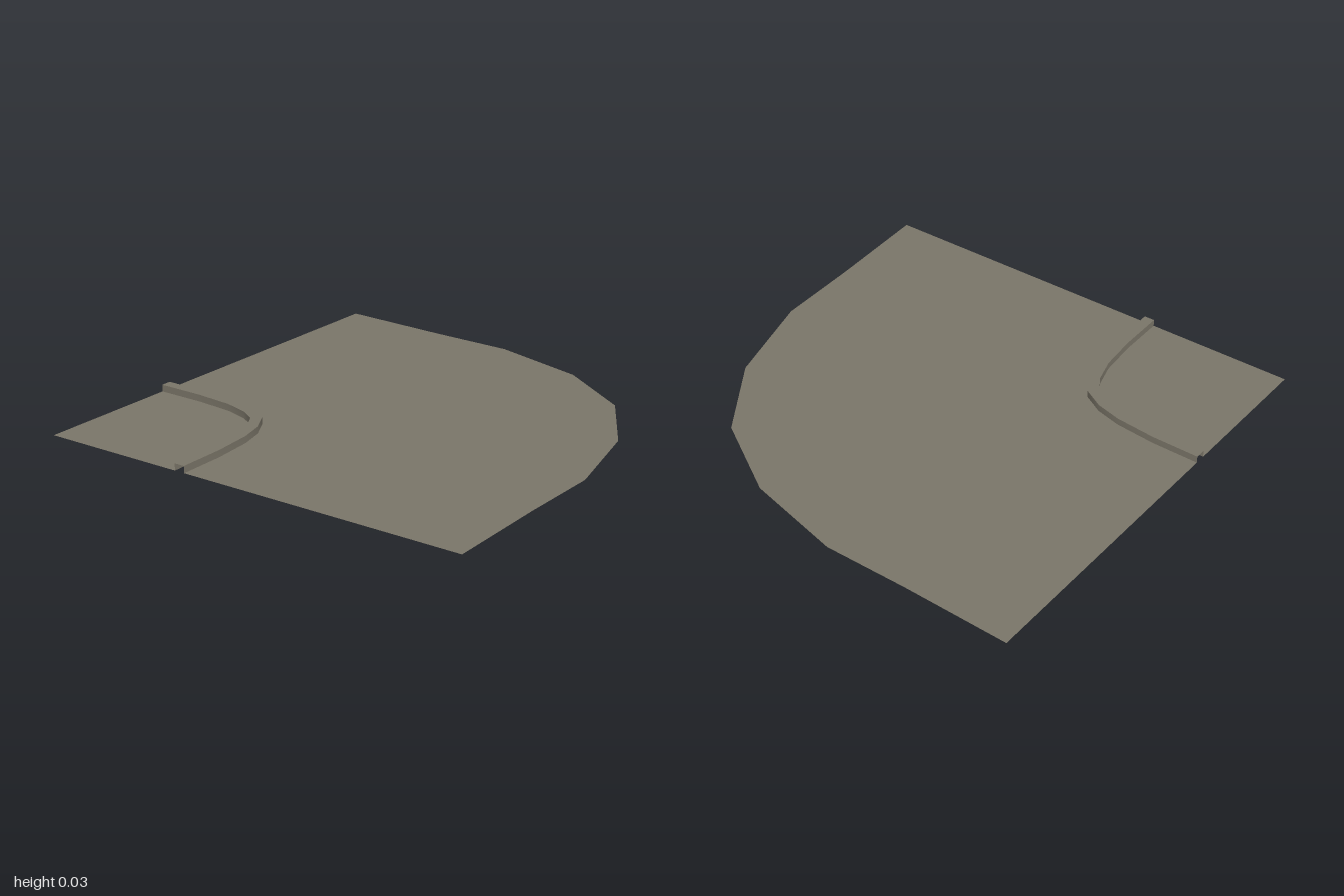
import * as THREE from 'three';

const KERB_HEIGHT = 0.03;

// Completes half a curve by reflecting it over the corner diagonal; the last point lies on it.
const mirrorDiagonal = (half) => [...half, ...half.slice(0, -1).reverse().map(([x, z]) => [z, x])];

// Ground outlines as [x, z]
const outerKerb = mirrorDiagonal([[-1, -0.303], [-0.79, -0.305], [-0.61, -0.322], [-0.497, -0.352], [-0.405, -0.405]]);
const innerKerb = mirrorDiagonal([[-1, -0.35], [-0.79, -0.352], [-0.62, -0.367], [-0.51, -0.398], [-0.44, -0.44]]);
const roadEdge = mirrorDiagonal([[-1, 1], [-0.52, 0.982], [-0.145, 0.977], [0.29, 0.862], [0.637, 0.637]]);

// Flat ground panel facing up
function panel(points) {
  const shape = new THREE.Shape(points.map(([x, z]) => new THREE.Vector2(x, -z)));
  return new THREE.ShapeGeometry(shape).rotateX(-Math.PI / 2);
}

// Smooth ribbon between two curves at given heights
function ribbon(a, ya, b, yb) {
  const pos = [], index = [];
  a.forEach(([x, z], i) => {
    pos.push(x, ya, z, b[i][0], yb, b[i][1]);
    if (i < a.length - 1) {
      const k = i * 2;
      index.push(k, k + 2, k + 1, k + 2, k + 3, k + 1);
    }
  });
  const geo = new THREE.BufferGeometry();
  geo.setAttribute('position', new THREE.Float32BufferAttribute(pos, 3));
  geo.setIndex(index);
  geo.computeVertexNormals();
  return geo;
}

export function createModel() {
  const model = new THREE.Group();
  model.name = 'roadCorner';
  const asphalt = new THREE.MeshStandardMaterial({ color: 0x7a7568, side: THREE.DoubleSide });
  asphalt.name = 'asphalt grey';

  const add = (name, geometry, parent = model) => {
    const mesh = new THREE.Mesh(geometry, asphalt);
    mesh.name = name;
    parent.add(mesh);
  };

  // Road surface outside the kerb, pavement in the corner
  add('roadSurface', panel([...roadEdge, ...[...outerKerb].reverse()]));
  add('cornerPavement', panel([[-1, -1], ...innerKerb]));

  // Hollow kerb, open underneath and at both ends
  const kerb = new THREE.Group();
  kerb.name = 'kerb';
  add('kerbOuterWall', ribbon(outerKerb, 0, outerKerb, KERB_HEIGHT), kerb);
  add('kerbTop', ribbon(outerKerb, KERB_HEIGHT, innerKerb, KERB_HEIGHT), kerb);
  add('kerbInnerWall', ribbon(innerKerb, KERB_HEIGHT, innerKerb, 0), kerb);
  model.add(kerb);

  return model;
}
